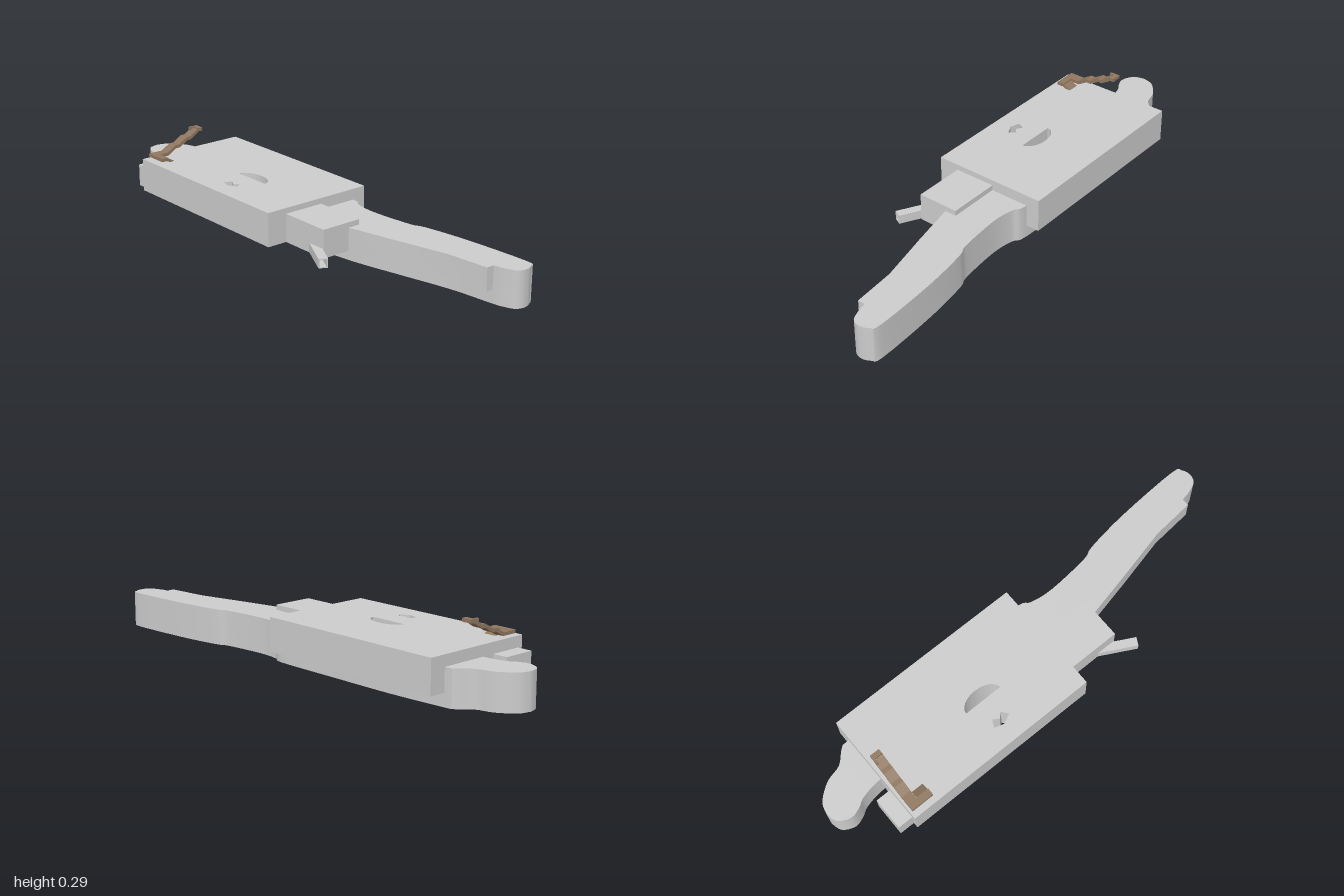
import * as THREE from 'three';
import { toCreasedNormals } from 'three/addons/utils/BufferGeometryUtils.js';

const grey = new THREE.MeshStandardMaterial({ color: 0xcccccc });
const brown = new THREE.MeshStandardMaterial({ color: 0x8f765f });
const teal = new THREE.MeshStandardMaterial({ color: 0x6fa5b0, side: THREE.DoubleSide });

// Plans are drawn as (x, z); shape y is -z so that extrusion goes up.
const plan = (pts) => pts.map(([x, z]) => new THREE.Vector2(x, -z));

function slab(name, shape, y0, y1, material = grey) {
  let g = new THREE.ExtrudeGeometry(shape, { depth: y1 - y0, bevelEnabled: false, curveSegments: 16 });
  g.rotateX(-Math.PI / 2);
  g.translate(0, y0, 0);
  g = toCreasedNormals(g, 0.5);
  const mesh = new THREE.Mesh(g, material);
  mesh.name = name;
  return mesh;
}

function box(name, x0, x1, y0, y1, z0, z1, material = grey) {
  const mesh = new THREE.Mesh(new THREE.BoxGeometry(x1 - x0, y1 - y0, z1 - z0), material);
  mesh.position.set((x0 + x1) / 2, (y0 + y1) / 2, (z0 + z1) / 2);
  mesh.name = name;
  return mesh;
}

// Half disc with its straight side towards the front
function halfDisc(Kind) {
  const s = new Kind();
  s.absellipse(-0.273, -0.043, 0.083, 0.05, 0, Math.PI, false, 0);
  s.closePath();
  return s;
}

// Side profile given as (z, y), extruded along x
function profileX(name, pts, x0, x1) {
  const shape = new THREE.Shape(pts.map(([z, y]) => new THREE.Vector2(-z, y)));
  const g = new THREE.ExtrudeGeometry(shape, { depth: x1 - x0, bevelEnabled: false });
  g.rotateY(Math.PI / 2);
  g.translate(x0, 0, 0);
  const mesh = new THREE.Mesh(g, brown);
  mesh.name = name;
  return mesh;
}

function createStairs() {
  const stairs = new THREE.Group();
  stairs.name = 'stairs';
  // Upper flight with short landings: one line of treads given a thickness
  const line = [[0.215, 0.212], [0.15, 0.212], [0.11, 0.236], [0.09, 0.236],
    [0.05, 0.26], [0.032, 0.26], [-0.006, 0.284]];
  const under = line.map(([z, y]) => [z - 0.004, y - 0.013]).reverse();
  under[under.length - 1][0] = 0.215;
  stairs.add(profileX('upperFlight', [...line, ...under], -0.75, -0.708));
  stairs.add(box('topStep', -0.75, -0.708, 0.274, 0.288, -0.031, -0.01, brown));
  stairs.add(box('topPost', -0.75, -0.74, 0.274, 0.288, -0.01, 0.01, brown));
  stairs.add(box('landing', -0.708, -0.652, 0.199, 0.212, 0.185, 0.215, brown));
  // Lower flight runs down into the roof
  stairs.add(profileX('lowerFlight',
    [[0.195, 0.212], [0.11, 0.17], [0.105, 0.16], [0.125, 0.166], [0.195, 0.2]], -0.705, -0.655));
  return stairs;
}

export function createModel() {
  const model = new THREE.Group();
  model.name = 'buildingComplex';

  // Long curved base with rounded ends
  const outline = new THREE.SplineCurve(plan([
    [-1, 0.005], [-0.985, 0.05], [-0.935, 0.074], [-0.89, 0.062], [-0.85, 0.04], [-0.757, 0.026],
    [-0.6, 0.04], [-0.4, 0.055], [-0.15, 0.055], [0.08, 0.03], [0.3, 0], [0.5, -0.045],
    [0.72, -0.095], [0.9, -0.117], [0.945, -0.127], [0.985, -0.145], [0.998, -0.18],
    [0.985, -0.217], [0.945, -0.236], [0.67, -0.22], [0.48, -0.193], [0.42, -0.172],
    [0.24, -0.155], [0.14, -0.165], [0.08, -0.188], [-0.2, -0.19], [-0.5, -0.19],
    [-0.757, -0.175], [-0.8, -0.165], [-0.85, -0.117], [-0.92, -0.095], [-0.983, -0.045], [-1, 0.005],
  ]));
  const base = new THREE.Shape(outline.getPoints(128));
  base.holes.push(halfDisc(THREE.Path));
  model.add(slab('curvedBase', base, 0, 0.146));
  model.add(slab('pool', halfDisc(THREE.Shape), 0.003, 0.008, teal));

  // Overhanging deck along the front of the arm
  model.add(slab('armDeck', new THREE.Shape(plan([
    [0.2, 0.04], [0.3, 0.03], [0.5, -0.015], [0.72, -0.068], [0.9, -0.085],
    [0.9, -0.15], [0.5, -0.12], [0.2, -0.1],
  ])), 0.054, 0.146));

  // Main hall with openings in the roof
  const hall = new THREE.Shape(plan([[-0.76, 0.24], [0.08, 0.24], [0.08, -0.245], [-0.76, -0.245]]));
  hall.holes.push(halfDisc(THREE.Path));
  const opening = [[-0.31, 0.155], [-0.295, 0.125], [-0.27, 0.14], [-0.25, 0.122],
    [-0.23, 0.148], [-0.27, 0.167]];
  hall.holes.push(new THREE.Path(plan(opening)));
  model.add(slab('mainHall', hall, 0.053, 0.191));
  // Floor closing part of the small opening
  model.add(slab('openingFloor', new THREE.Shape(plan([
    [-0.31, 0.155], [-0.295, 0.125], [-0.27, 0.14], [-0.26, 0.15], [-0.24, 0.158], [-0.27, 0.167],
  ])), 0.054, 0.06));

  // Side annexes
  model.add(box('rightAnnex', -0.823, -0.76, 0.054, 0.146, 0.082, 0.218));
  model.add(box('leftAnnex', 0.08, 0.3, 0.053, 0.168, -0.021, 0.154));

  // Open-ended passage angled out from the left annex
  const frame = new THREE.Shape(plan([[-0.018, 0], [0.018, 0], [0.018, -0.037], [-0.018, -0.037]]));
  frame.holes.push(new THREE.Path(plan([
    [-0.013, -0.004], [0.013, -0.004], [0.013, -0.033], [-0.013, -0.033],
  ])));
  const passage = new THREE.Mesh(
    new THREE.ExtrudeGeometry(frame, { depth: 0.17, bevelEnabled: false }), grey);
  passage.name = 'passage';
  passage.position.set(0.22, 0.054, 0.135);
  passage.rotation.y = Math.PI / 2 - 0.49;
  model.add(passage);

  model.add(createStairs());
  return model;
}
